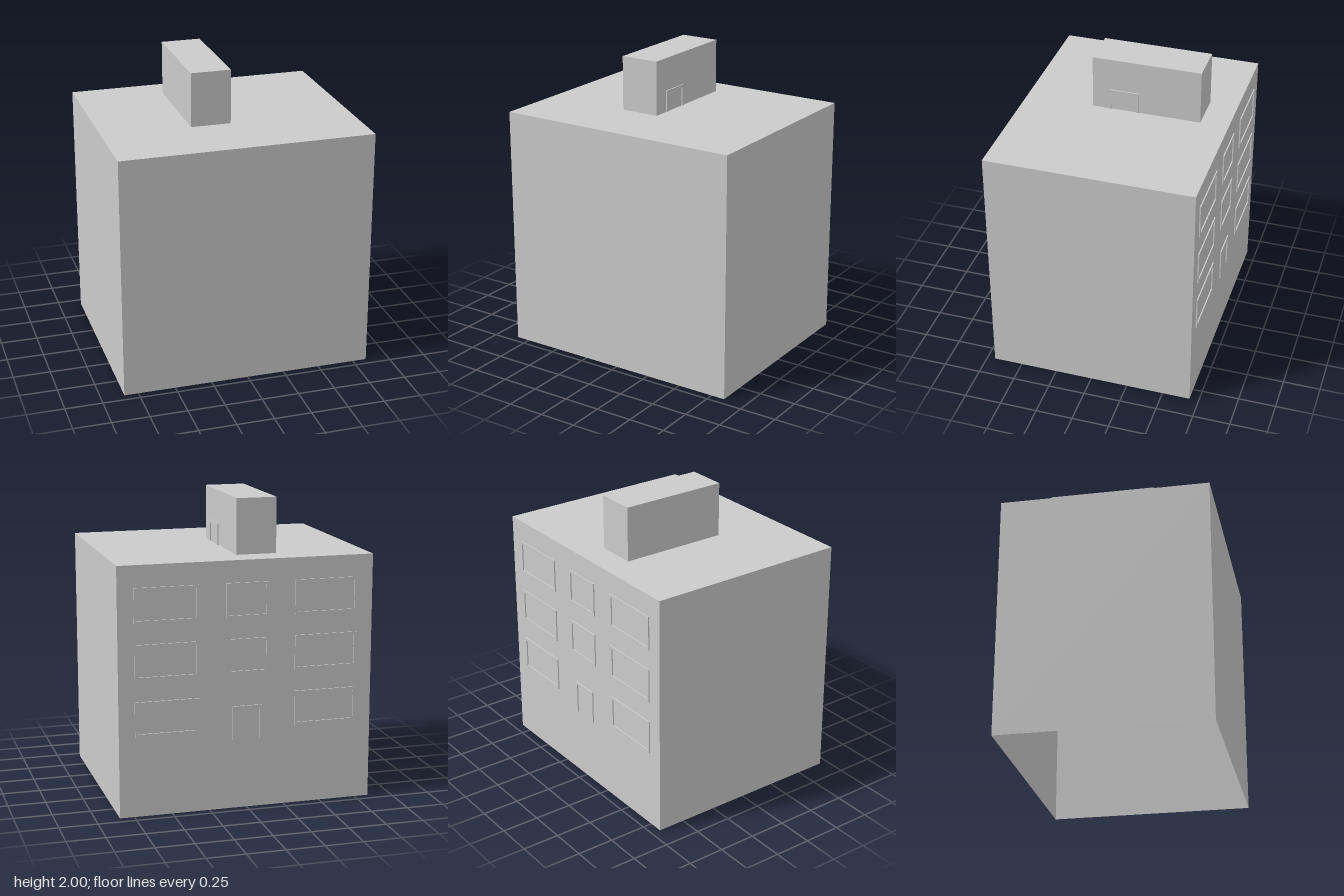
import * as THREE from 'three';

const material = new THREE.MeshStandardMaterial({ color: 0xcccccc, side: THREE.DoubleSide });
const TRIM = 0.018; // width of the frame bars
const DEPTH = 0.008; // how far frames stand off the wall
const BACK = -0.687; // plane of the back wall
const ROOF = 1.635;

// Box between two corners, without its bottom face
function openBox(name, [x0, y0, z0], [x1, y1, z1]) {
  const geometry = new THREE.BoxGeometry(x1 - x0, y1 - y0, z1 - z0);
  const index = Array.from(geometry.index.array);
  index.splice(18, 6);
  geometry.setIndex(index);
  geometry.clearGroups();
  geometry.translate((x0 + x1) / 2, (y0 + y1) / 2, (z0 + z1) / 2);
  const mesh = new THREE.Mesh(geometry, material);
  mesh.name = name;
  return mesh;
}

// Extruded outline, standing on y = 0, centred on x, facing +z
function extrude(name, shape) {
  const geometry = new THREE.ExtrudeGeometry(shape, { depth: DEPTH, bevelEnabled: false });
  const mesh = new THREE.Mesh(geometry, material);
  mesh.name = name;
  return mesh;
}

const points = (list) => list.map(([x, y]) => new THREE.Vector2(x, y));

// Closed rectangular frame
function windowFrame(w, h) {
  const a = w / 2, b = a - TRIM;
  const shape = new THREE.Shape(points([[-a, 0], [a, 0], [a, h], [-a, h]]));
  shape.holes.push(new THREE.Path(points([[-b, TRIM], [-b, h - TRIM], [b, h - TRIM], [b, TRIM]])));
  return extrude('windowFrame', shape);
}

// Frame with two posts and a lintel, open at the bottom
function doorFrame(name, w, h) {
  const a = w / 2, b = a - TRIM;
  return extrude(name, new THREE.Shape(points([
    [-a, 0], [-b, 0], [-b, h - TRIM], [b, h - TRIM], [b, 0], [a, 0], [a, h], [-a, h],
  ])));
}

export function createModel() {
  const model = new THREE.Group();
  model.name = 'building';

  // Main block and rooftop stairwell
  model.add(openBox('mainBlock', [-0.845, 0, BACK], [0.845, ROOF, 0.695]));
  model.add(openBox('roofStairwell', [-0.25, ROOF, -0.497], [0.018, 2, 0.233]));

  // Windows and entrance on the back wall
  const facade = new THREE.Group();
  facade.name = 'facade';
  facade.position.z = BACK;
  facade.rotation.y = Math.PI;
  for (const y of [0.53, 0.9, 1.263]) {
    for (const [x, w] of [[-0.53, 0.42], [0, 0.285], [0.53, 0.42]]) {
      if (x === 0 && y === 0.53) continue; // the entrance takes this place
      const frame = windowFrame(w, 0.228);
      frame.position.set(x, y, 0);
      facade.add(frame);
    }
  }
  const entrance = doorFrame('entranceFrame', 0.2, 0.225);
  entrance.position.y = 0.46;
  facade.add(entrance);
  model.add(facade);

  // Door onto the roof
  const roofDoor = doorFrame('roofDoorFrame', 0.205, 0.145);
  roofDoor.position.set(0.018, ROOF, 0.02);
  roofDoor.rotation.y = Math.PI / 2;
  model.add(roofDoor);

  return model;
}
